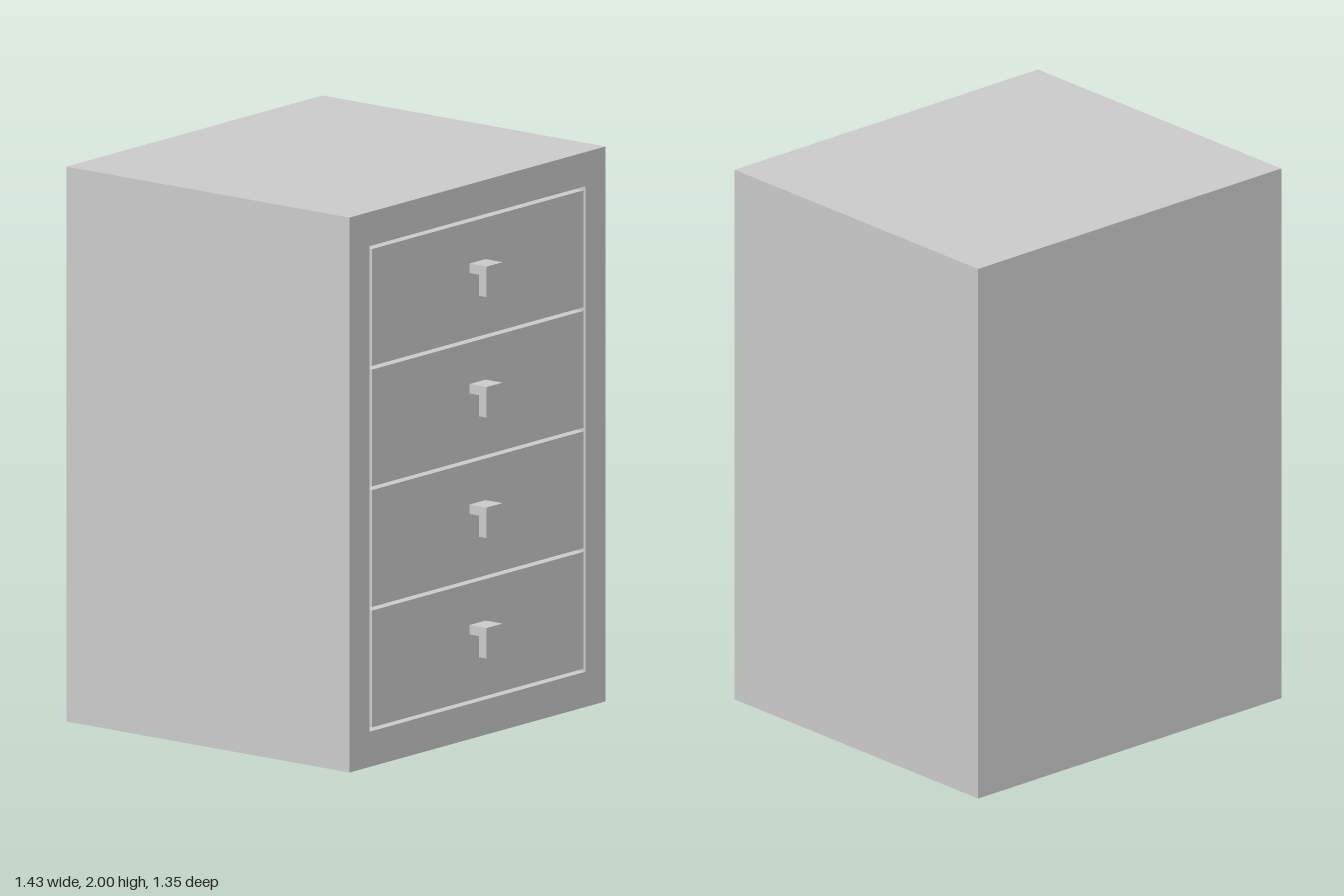
import * as THREE from 'three';

const material = new THREE.MeshStandardMaterial({ color: 0xcccccc, flatShading: true });

// Cabinet extents
const HALF_W = 0.717, HEIGHT = 2, BACK = -0.677, FRONT = 0.6, BACK_WALL = 0.1;
// Opening and drawers
const OPEN_X = 0.605, OPEN_Y0 = 0.127, OPEN_Y1 = 1.877, GAP = 0.013;
const DRAWERS = 4;

function addMesh(parent, name, geometry, x = 0, y = 0, z = 0) {
  const mesh = new THREE.Mesh(geometry, material);
  mesh.name = name;
  mesh.position.set(x, y, z);
  parent.add(mesh);
  return mesh;
}

// Rectangle outline from two corners
function rectPoints(x0, y0, x1, y1) {
  return [[x0, y0], [x1, y0], [x1, y1], [x0, y1]].map(([x, y]) => new THREE.Vector2(x, y));
}

// L-shaped pull: side profile (z, y) extruded across the width
function handleGeometry() {
  const width = 0.09, reach = 0.077, thick = 0.034, half = 0.055;
  const profile = new THREE.Shape([
    [0, half], [0, half - thick], [reach - thick, half - thick],
    [reach - thick, -half], [reach, -half], [reach, half],
  ].map(([z, y]) => new THREE.Vector2(z, y)));
  const geometry = new THREE.ExtrudeGeometry(profile, { depth: width, bevelEnabled: false });
  geometry.translate(0, 0, -width / 2);
  geometry.rotateY(-Math.PI / 2);
  return geometry;
}

export function createModel() {
  const model = new THREE.Group();
  model.name = 'drawerCabinet';

  // Casing with a rectangular opening, closed by a back wall
  const outline = new THREE.Shape(rectPoints(-HALF_W, 0, HALF_W, HEIGHT));
  outline.holes.push(new THREE.Path(rectPoints(-OPEN_X, OPEN_Y0, OPEN_X, OPEN_Y1)));
  const casingDepth = FRONT - BACK - BACK_WALL;
  addMesh(model, 'casing',
    new THREE.ExtrudeGeometry(outline, { depth: casingDepth, bevelEnabled: false }),
    0, 0, BACK + BACK_WALL);
  addMesh(model, 'backWall', new THREE.BoxGeometry(HALF_W * 2, HEIGHT, BACK_WALL),
    0, HEIGHT / 2, BACK + BACK_WALL / 2);

  // Evenly spaced drawers, each with a pull
  const pitch = (OPEN_Y1 - OPEN_Y0 - GAP) / DRAWERS;
  const drawerDepth = casingDepth - GAP;
  const drawerBox = new THREE.BoxGeometry((OPEN_X - GAP) * 2, pitch - GAP, drawerDepth);
  const pull = handleGeometry();
  for (let i = 0; i < DRAWERS; i++) {
    const drawer = new THREE.Group();
    drawer.name = `drawer${i + 1}`;
    drawer.position.set(0, OPEN_Y0 + GAP / 2 + pitch * (i + 0.5), FRONT);
    addMesh(drawer, 'drawerBox', drawerBox, 0, 0, -drawerDepth / 2);
    addMesh(drawer, 'handle', pull, 0, 0.006, 0);
    model.add(drawer);
  }
  return model;
}
